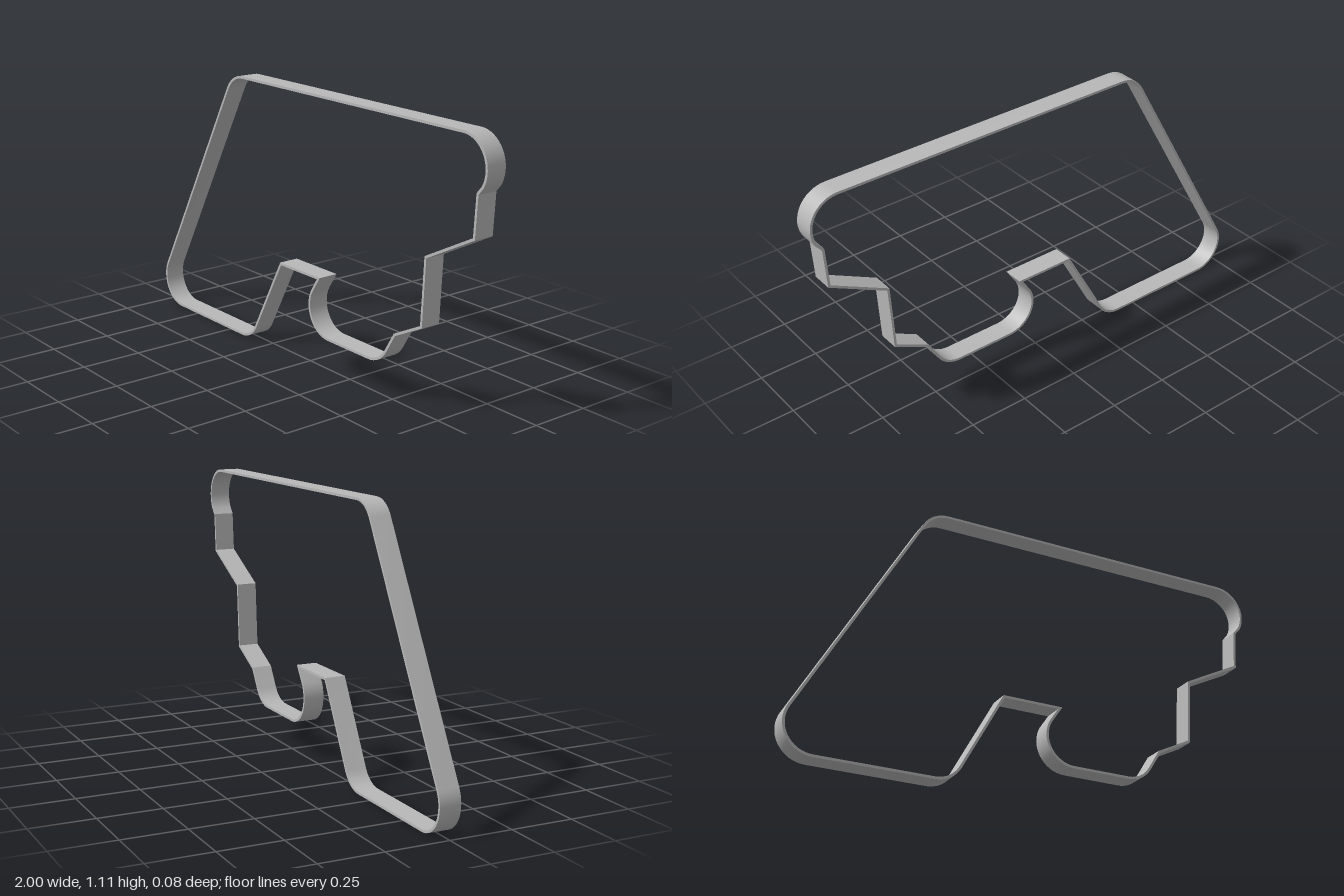
import * as THREE from 'three';
import { toCreasedNormals } from 'three/addons/utils/BufferGeometryUtils.js';

const R = 0.12;      // corner radius
const WALL = 0.01;   // wall thickness
const DEPTH = 0.084; // band width along z

// Points of a rounded corner, angles in degrees, counter-clockwise
function arc(cx, cy, from, to) {
  const n = Math.round((to - from) / 7.5);
  return Array.from({ length: n + 1 }, (_, i) => {
    const a = THREE.MathUtils.degToRad(from + ((to - from) * i) / n);
    return new THREE.Vector2(cx + R * Math.cos(a), cy + R * Math.sin(a));
  });
}

const corners = (...list) => list.map(([x, y]) => new THREE.Vector2(x, y));

// Mitred inward offset of a counter-clockwise outline
function inset(points, d) {
  const n = points.length;
  return points.map((p, i) => {
    const a = p.clone().sub(points[(i + n - 1) % n]).normalize();
    const b = points[(i + 1) % n].clone().sub(p).normalize();
    const na = new THREE.Vector2(-a.y, a.x);
    const nb = new THREE.Vector2(-b.y, b.x);
    return na.clone().add(nb).multiplyScalar(d / (1 + na.dot(nb))).add(p);
  });
}

export function createModel() {
  const steel = new THREE.MeshStandardMaterial({ color: 0xb8b8b8 });
  steel.name = 'plain grey';

  // Outer outline, counter-clockwise from the lower left foot
  const outline = [
    ...arc(-0.88, R, 150, 270),
    ...arc(-0.415, R, 270, 330),
    // notch between the two feet
    ...corners([-0.136, 0.377], [0.094, 0.377]),
    ...arc(0.162, 0.263, 150, 270),
    ...arc(0.405, 0.263, 270, 330),
    // stepped right side
    ...corners([0.556, 0.279], [0.699, 0.35], [0.714, 0.616], [0.951, 0.737], [0.961, 0.898]),
    ...arc(0.88, 0.985, -30, 90),
    ...arc(-0.39, 0.985, 90, 150),
  ];

  // Thin band following the outline
  const shape = new THREE.Shape(outline);
  shape.holes.push(new THREE.Path(inset(outline, WALL)));
  const extruded = new THREE.ExtrudeGeometry(shape, { depth: DEPTH, bevelEnabled: false });
  extruded.translate(0, 0, -DEPTH / 2);

  const band = new THREE.Mesh(toCreasedNormals(extruded, 0.3), steel);
  band.name = 'outlineBand';

  const group = new THREE.Group();
  group.name = 'outlineCutter';
  group.add(band);
  return group;
}
